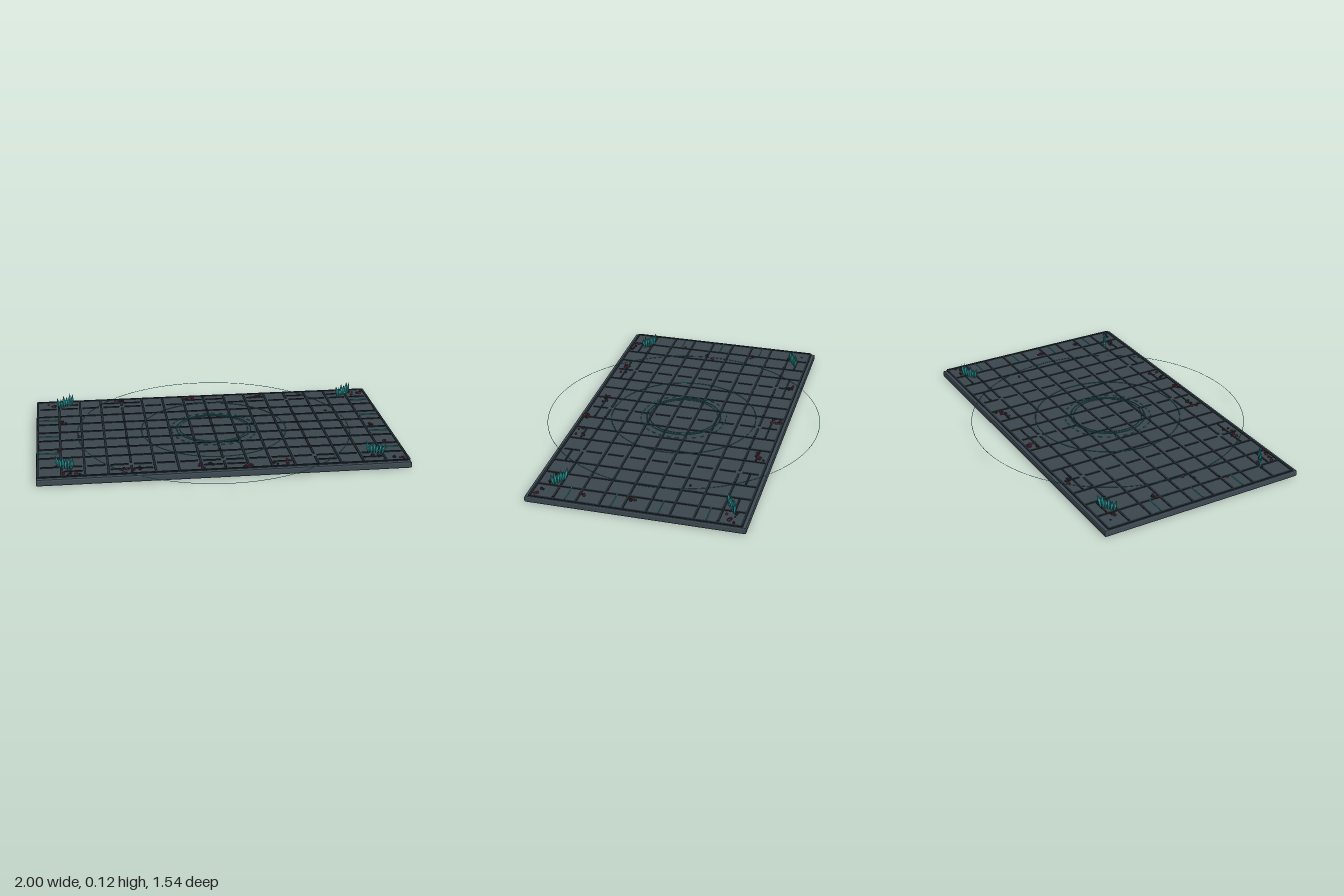
import * as THREE from 'three';

const mat = (name, color, extra = {}) => {
  const m = new THREE.MeshStandardMaterial({ color, ...extra });
  m.name = name;
  return m;
};

export function createModel() {
  const root = new THREE.Group();
  root.name = 'arenaFloor';
  const slate = mat('slate', 0x3d4a53);
  const stone = mat('tileStone', 0x3a454d);
  const seamMat = mat('darkSeam', 0x1f282d);
  const glow = mat('tealLine', 0x2fa8a2);
  const crystalMat = mat('tealCrystal', 0x2a9496, { flatShading: true });
  const redMat = mat('redRubble', 0x6b2a38, { flatShading: true });
  const darkRock = mat('darkRubble', 0x2c2a31, { flatShading: true });

  const add = (name, geo, material, x = 0, y = 0, z = 0, parent = root) => {
    const m = new THREE.Mesh(geo, material);
    m.name = name;
    m.position.set(x, y, z);
    parent.add(m);
    return m;
  };
  const box = (name, w, h, d, material, x, y, z, parent) =>
    add(name, new THREE.BoxGeometry(w, h, d), material, x, y, z, parent);

  // small repeatable noise
  let seed = 11;
  const rnd = () => {
    seed = (seed * 16807) % 2147483647;
    return seed / 2147483647;
  };

  // slab with chamfered rim
  const hw = 0.99, hd = 0.573, bevel = 0.01;
  const outline = new THREE.Shape([
    new THREE.Vector2(-hw, -hd), new THREE.Vector2(hw, -hd),
    new THREE.Vector2(hw, hd), new THREE.Vector2(-hw, hd),
  ]);
  const slabGeo = new THREE.ExtrudeGeometry(outline, {
    depth: 0.02, bevelEnabled: true, bevelSize: bevel, bevelThickness: bevel, bevelSegments: 2,
  });
  slabGeo.rotateX(-Math.PI / 2);
  add('slab', slabGeo, slate, 0, bevel, 0);
  box('tileField', 1.98, 0.003, 1.116, stone, 0, 0.04, 0);

  // tile seams on a 16 x 9 grid; some are broken into dashes
  const step = 0.124, seamY = 0.0425, seamW = 0.012, seamH = 0.005;
  const seams = new THREE.Group();
  seams.name = 'tileSeams';
  root.add(seams);
  for (let i = -8; i <= 8; i++) {
    const x = i * step;
    if (i % 4 === 0 && Math.abs(i) < 8) {
      for (let j = -4; j <= 4; j++) box('seamDash', seamW, seamH, 0.085, seamMat, x, seamY, j * step, seams);
    } else box('crossSeam', seamW, seamH, 1.116, seamMat, x, seamY, 0, seams);
  }
  for (let j = -4.5; j <= 4.5; j++) {
    const z = j * step;
    if (Math.abs(j) === 3.5) {
      for (let i = -7.5; i <= 7.5; i++) box('seamDash', 0.095, seamH, seamW, seamMat, i * step, seamY, z, seams);
    } else box('longSeam', 1.984, seamH, seamW, seamMat, 0, seamY, z, seams);
  }

  // half-tile channels near the long edges
  for (const s of [-1, 1]) {
    for (const i of [-6.5, -4.5, -3.5, -0.5, 0.5, 2.5, 4.5, 6.5]) {
      box('channel', 0.1, 0.006, 0.009, seamMat, i * step, seamY, s * 0.495);
    }
  }

  // glowing rings
  const ring = (name, r, tube, y) => {
    const g = new THREE.TorusGeometry(r, tube, 4, 96);
    g.rotateX(Math.PI / 2);
    add(name, g, glow, 0, y, 0);
  };
  ring('outerRing', 0.77, 0.0014, 0.051);
  ring('middleRing', 0.41, 0.002, 0.051);
  ring('innerRing', 0.21, 0.0028, 0.053);
  ring('coreRing', 0.193, 0.0018, 0.053);

  // ring of short dashes around the centre
  for (let i = 0; i < 32; i++) {
    const a = ((i + 0.5) / 32) * Math.PI * 2;
    const r = 0.238 + 0.008 * Math.abs(Math.sin(2 * a));
    const dash = box('ringDash', 0.02, 0.004, 0.005, glow, Math.cos(a) * r, 0.049, Math.sin(a) * r);
    dash.rotation.y = Math.PI / 2 - a;
  }

  // light strips at both ends
  for (const z of [-0.374, -0.127, 0.123, 0.369]) box('rightStrip', 0.112, 0.004, 0.004, glow, 0.925, 0.0445, z);
  for (const z of [-0.25, 0, 0.246]) box('leftStrip', 0.112, 0.004, 0.004, glow, -0.927, 0.0445, z);

  // crystal clusters in the corners: fans of pointed shards
  const shardGeo = new THREE.LatheGeometry([
    new THREE.Vector2(0.005, 0), new THREE.Vector2(0.0095, 0.5), new THREE.Vector2(0, 1),
  ], 5);
  const heights = [0.062, 0.05, 0.066, 0.055, 0.072, 0.064];
  for (const [cx, cz, slope] of [[-0.83, -0.475, -1], [0.85, -0.475, -1], [-0.85, 0.45, 1], [0.83, 0.45, 1]]) {
    const cluster = new THREE.Group();
    cluster.name = 'crystalCluster';
    cluster.position.set(cx, 0.042, cz);
    heights.forEach((h, i) => {
      const t = (i - 2.5) / 2.5;
      const shard = add('crystalShard', shardGeo, crystalMat, t * 0.032, 0, slope * t * 0.02, cluster);
      shard.scale.set(1, h * 1.1, 1);
      shard.rotation.set(slope * t * 0.12, i, -t * 0.22, 'ZXY');
    });
    root.add(cluster);
  }

  // rubble heaps along the edges: centre, count, spread
  const rockGeo = new THREE.DodecahedronGeometry(1, 0);
  const heaps = [
    [-0.49, -0.515, 6, 0.05], [-0.09, -0.52, 7, 0.04], [0.32, -0.51, 7, 0.04], [0.93, -0.49, 6, 0.05],
    [-0.85, -0.22, 3, 0.03], [-0.89, -0.49, 4, 0.04], [0.9, 0.04, 4, 0.05], [0.93, 0.295, 4, 0.025],
    [0.92, 0.51, 5, 0.05], [0.81, 0.49, 4, 0.03], [0.31, 0.51, 6, 0.05], [0.12, 0.54, 5, 0.025],
    [-0.1, 0.51, 6, 0.04], [-0.5, 0.51, 6, 0.05], [-0.83, 0.53, 6, 0.06], [-0.86, 0.45, 3, 0.04],
    [-0.9, 0.2, 2, 0.05], [0.7, -0.23, 2, 0.06], [-0.75, 0.05, 2, 0.06],
  ];
  for (const [cx, cz, n, spread] of heaps) {
    const heap = new THREE.Group();
    heap.name = 'rubbleHeap';
    for (let i = 0; i < n; i++) {
      const s = 0.004 + rnd() * 0.005;
      const x = cx + (rnd() - 0.5) * 2 * spread;
      const z = THREE.MathUtils.clamp(cz + (rnd() - 0.5) * 1.2 * spread, -0.555, 0.555);
      const rock = add('rubble', rockGeo, i % 2 ? darkRock : redMat, x, 0.041 + s * 0.6, z, heap);
      rock.scale.set(s * 1.3, s, s);
      rock.rotation.y = rnd() * 6;
    }
    root.add(heap);
  }
  return root;
}
